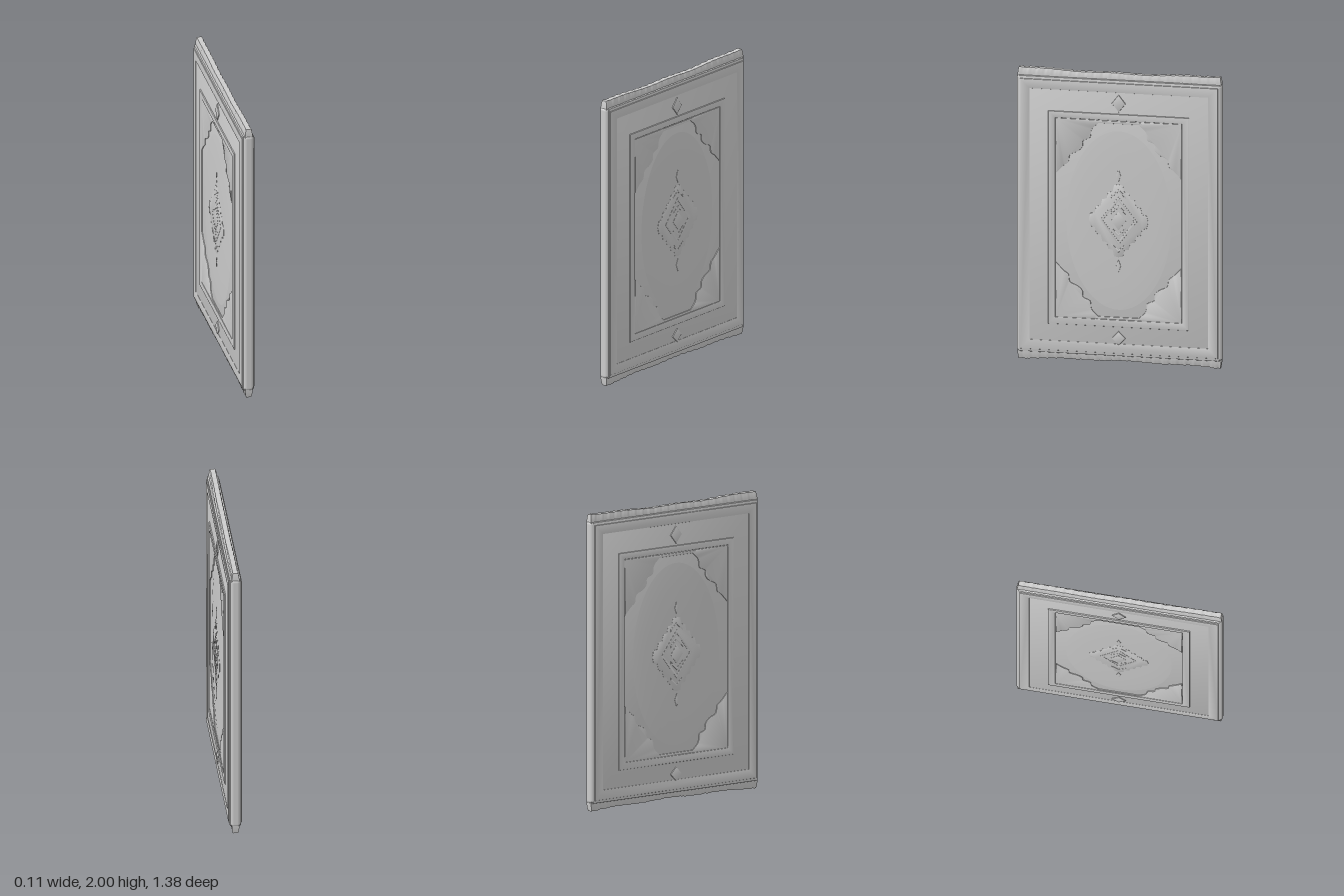
import * as THREE from 'three';
import { toCreasedNormals } from 'three/addons/utils/BufferGeometryUtils.js';
import { RoundedBoxGeometry } from 'three/addons/geometries/RoundedBoxGeometry.js';

const MID = 0.985; // height of the pattern's centre

export function createModel() {
  const group = new THREE.Group();
  const material = new THREE.MeshStandardMaterial({ color: 0xcccccc });

  function add(name, geometry) {
    const mesh = new THREE.Mesh(geometry, material);
    mesh.name = name;
    group.add(mesh);
    return mesh;
  }

  // Plate lying in the z-y plane, reaching x = -half to +half, with soft edges
  function plate(name, outline, half, bevel = 0.004, hole = null) {
    const shape = new THREE.Shape(outline);
    if (hole) shape.holes.push(new THREE.Path(hole));
    const geometry = new THREE.ExtrudeGeometry(shape, {
      depth: 2 * (half - bevel), bevelThickness: bevel, bevelSize: bevel,
      bevelOffset: -bevel, bevelSegments: 2, curveSegments: 8,
    });
    geometry.translate(0, 0, -(half - bevel));
    geometry.rotateY(-Math.PI / 2);
    return add(name, toCreasedNormals(geometry, 0.6));
  }

  const points = (list) => list.map(([z, y]) => new THREE.Vector2(z, y));
  const rect = (w, y0, y1) => points([[-w, y0], [w, y0], [w, y1], [-w, y1]]);
  const diamond = (w, h, y = MID) => points([[-w, y], [0, y - h], [w, y], [0, y + h]]);

  // Woven body with rounded side bindings
  const body = add('body', new RoundedBoxGeometry(0.068, 1.9, 1.385, 4, 0.022));
  body.position.y = 1;
  plate('endBands', rect(0.675, 0.052, 1.945), 0.038, 0.008);

  // Uneven fringe along the top and bottom ends
  for (const side of [1, -1]) {
    const geometry = new THREE.BoxGeometry(0.052, 0.1, 1.36, 4, 5, 180);
    const p = geometry.attributes.position;
    for (let i = 0; i < p.count; i++) {
      const z = p.getZ(i);
      const t = p.getY(i) / 0.1 + 0.5;
      const strands = 0.0018 * Math.sin(z * 95 + side) + 0.001 * Math.sin(z * 210);
      const edge = 0.986 + 0.013 * (z / 0.68) ** 2
        + 0.003 * Math.sin(z * 14 + side) + strands * 0.8;
      const taper = 1 - 0.35 * t ** 4 + strands * 25 * t;
      p.setXYZ(i, p.getX(i) * taper, 1 + side * (0.9 + (edge - 0.9) * t),
        (z + strands * 0.4) * (1.01 - 0.012 * t ** 3));
    }
    // Mirrored strip needs its corner order reversed
    if (side < 0) geometry.index.array.reverse();
    geometry.computeVertexNormals();
    add(side > 0 ? 'topFringe' : 'bottomFringe', geometry);
  }

  // Border, inner band and raised frame
  plate('outerBorder', rect(0.667, 0.072, 1.925), 0.045, 0.005, rect(0.6, 0.14, 1.86));
  plate('innerBorder', rect(0.61, 0.13, 1.87), 0.0425, 0.002);
  plate('raisedFrame', rect(0.475, 0.255, 1.715), 0.051, 0.006, rect(0.425, 0.305, 1.67));

  // Small diamonds at both ends of the border
  plate('topDiamond', diamond(0.047, 0.06, 1.788), 0.049, 0.005);
  plate('bottomDiamond', diamond(0.047, 0.048, 0.178), 0.049, 0.005);

  // Scalloped corner pieces
  const scallop = new THREE.CatmullRomCurve3([
    [0.422, 0.305], [0.37, 0.36], [0.338, 0.385], [0.328, 0.435], [0.275, 0.462],
    [0.243, 0.495], [0.24, 0.535], [0.192, 0.56], [0.182, 0.615], [0.135, 0.664],
  ].map(([z, y]) => new THREE.Vector3(z, y, 0))).getPoints(36);
  for (const sy of [1, -1]) {
    for (const sz of [1, -1]) {
      const outline = [...scallop.map((q) => [q.x, q.y]), [0.15, 0.683], [0.426, 0.683]];
      plate('cornerPiece', points(outline.map(([z, y]) => [z * sz, MID + y * sy])), 0.0475, 0.003);
    }
    const y = MID + sy * 0.672;
    plate('fieldEdge', rect(0.16, y - 0.009, y + 0.009), 0.0475, 0.003);
  }

  // Gently domed oval in the centre field
  const profile = [[0, -0.0515], [0.4, -0.051], [0.7, -0.0485], [0.9, -0.0445], [1, -0.041],
    [1, 0.041], [0.9, 0.0445], [0.7, 0.0485], [0.4, 0.051], [0, 0.0515]];
  const dome = new THREE.LatheGeometry(points(profile), 72);
  dome.rotateZ(-Math.PI / 2);
  dome.scale(1, 0.64, 0.37);
  add('centreOval', toCreasedNormals(dome, 0.5)).position.y = MID;

  // Stepped medallion outline, one zigzag quarter mirrored around the centre
  function stepped(w, h, steps) {
    const quarter = [];
    for (let i = 0; i < steps; i++) {
      quarter.push([w * (1 - i / steps), h * i / steps]);
      quarter.push([w * (1 - (i + 0.25) / steps), h * (i + 0.9) / steps]);
    }
    const upper = [...quarter, [0, h], ...quarter.slice(1).reverse().map(([z, y]) => [-z, y])];
    const lower = upper.slice().reverse().map(([z, y]) => [z, -y]);
    return points([...upper, [-w, 0], ...lower].map(([z, y]) => [z, y + MID]));
  }
  plate('medallion', stepped(0.2, 0.25, 5), 0.0522, 0.002);
  plate('medallionRing', diamond(0.125, 0.165), 0.0535, 0.0015, diamond(0.105, 0.138));
  plate('medallionHeart', diamond(0.05, 0.065), 0.0535, 0.0015);

  // Chevrons above and below the heart
  for (const s of [1, -1]) {
    for (const d of [0.09, 0.2]) {
      const chevron = [[-0.05, d - 0.045], [0, d], [0.05, d - 0.045],
        [0.05, d - 0.03], [0, d + 0.016], [-0.05, d - 0.03]];
      plate('chevron', points(chevron.map(([z, y]) => [z, MID + s * y])), 0.0535, 0.0015);
    }
    plate('pendant', diamond(0.016, 0.045, MID + s * 0.31), 0.0525, 0.0015);
  }
  return group;
}
